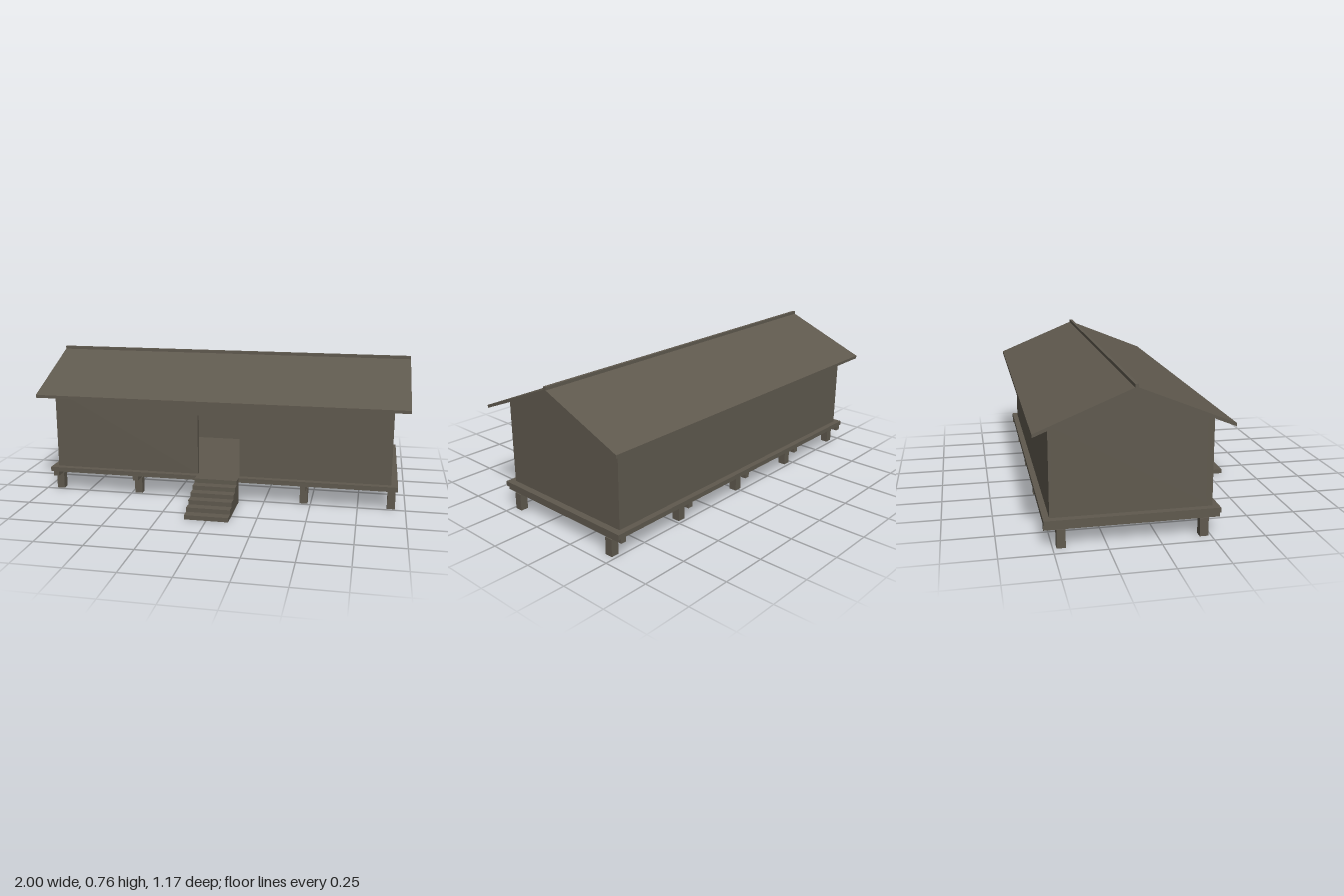
import * as THREE from 'three';

export function createModel() {
  const house = new THREE.Group();
  house.name = 'stiltHouse';
  const timber = new THREE.MeshStandardMaterial({ color: 0x5f594e });
  timber.name = 'weathered timber';

  const add = (name, geometry) => {
    const mesh = new THREE.Mesh(geometry, timber);
    mesh.name = name;
    house.add(mesh);
  };
  // Box given by its lower and upper limits on each axis
  const box = (name, x0, x1, y0, y1, z0, z1) => add(name,
    new THREE.BoxGeometry(x1 - x0, y1 - y0, z1 - z0)
      .translate((x0 + x1) / 2, (y0 + y1) / 2, (z0 + z1) / 2));
  // Extrudes a [z, y] profile along x, from x0 to x1
  const extrudeX = (name, points, x0, x1) => {
    const shape = new THREE.Shape(points.map(([z, y]) => new THREE.Vector2(z, y)));
    add(name, new THREE.ExtrudeGeometry(shape, { depth: x1 - x0, bevelEnabled: false })
      .rotateY(-Math.PI / 2).translate(x1, 0, 0));
  };

  const ridgeZ = -0.125, floorY = 0.14, deckY = 0.115, beamY = 0.09;
  const front = 0.26, back = -0.51, eaveY = 0.576, wall = 0.03, halfX = 0.92;
  const deckFront = 0.293, deckBack = -0.54, doorX = 0.115;

  // Posts and cross beams
  for (const x of [-0.925, -0.4625, 0, 0.4625, 0.925]) {
    box('beam', x - 0.015, x + 0.015, beamY, deckY, deckBack, deckFront);
    for (const z of [0.215, -0.461]) {
      box('post', x - 0.021, x + 0.021, 0, beamY, z - 0.021, z + 0.021);
    }
  }

  // Floor deck
  box('deck', -0.955, 0.955, deckY, floorY, deckBack, deckFront);

  // Front wall with an open doorway
  const wallShape = new THREE.Shape([
    [-halfX, floorY], [-doorX, floorY], [-doorX, 0.467], [doorX, 0.467],
    [doorX, floorY], [halfX, floorY], [halfX, eaveY], [-halfX, eaveY],
  ].map(([x, y]) => new THREE.Vector2(x, y)));
  add('frontWall', new THREE.ExtrudeGeometry(wallShape, { depth: wall, bevelEnabled: false })
    .translate(0, 0, front - wall));

  // Back wall and the two gable walls
  box('backWall', -halfX, halfX, floorY, eaveY, back, back + wall);
  const gable = [[front, floorY], [front, eaveY], [ridgeZ, 0.733], [back, eaveY], [back, floorY]];
  extrudeX('gableWall', gable, halfX - wall, halfX);
  extrudeX('gableWall', gable, -halfX, -halfX + wall);

  // Pitched roof and ridge cap
  const eave = 0.461;
  extrudeX('roof', [
    [ridgeZ - eave, 0.545], [ridgeZ, 0.733], [ridgeZ + eave, 0.545],
    [ridgeZ + eave, 0.561], [ridgeZ, 0.749], [ridgeZ - eave, 0.561],
  ], -1, 1);
  box('ridgeCap', -1, 1, 0.742, 0.762, ridgeZ - 0.008, ridgeZ + 0.008);

  // Solid entrance stairs
  const steps = 6, run = (0.586 - deckFront) / steps;
  const profile = [[deckFront, 0], [deckFront, floorY]];
  for (let i = 0; i < steps; i++) {
    const z = deckFront + run * (i + 1);
    profile.push([z, floorY * (steps - i) / steps], [z, floorY * (steps - i - 1) / steps]);
  }
  extrudeX('stairs', profile, -doorX, doorX);

  return house;
}
